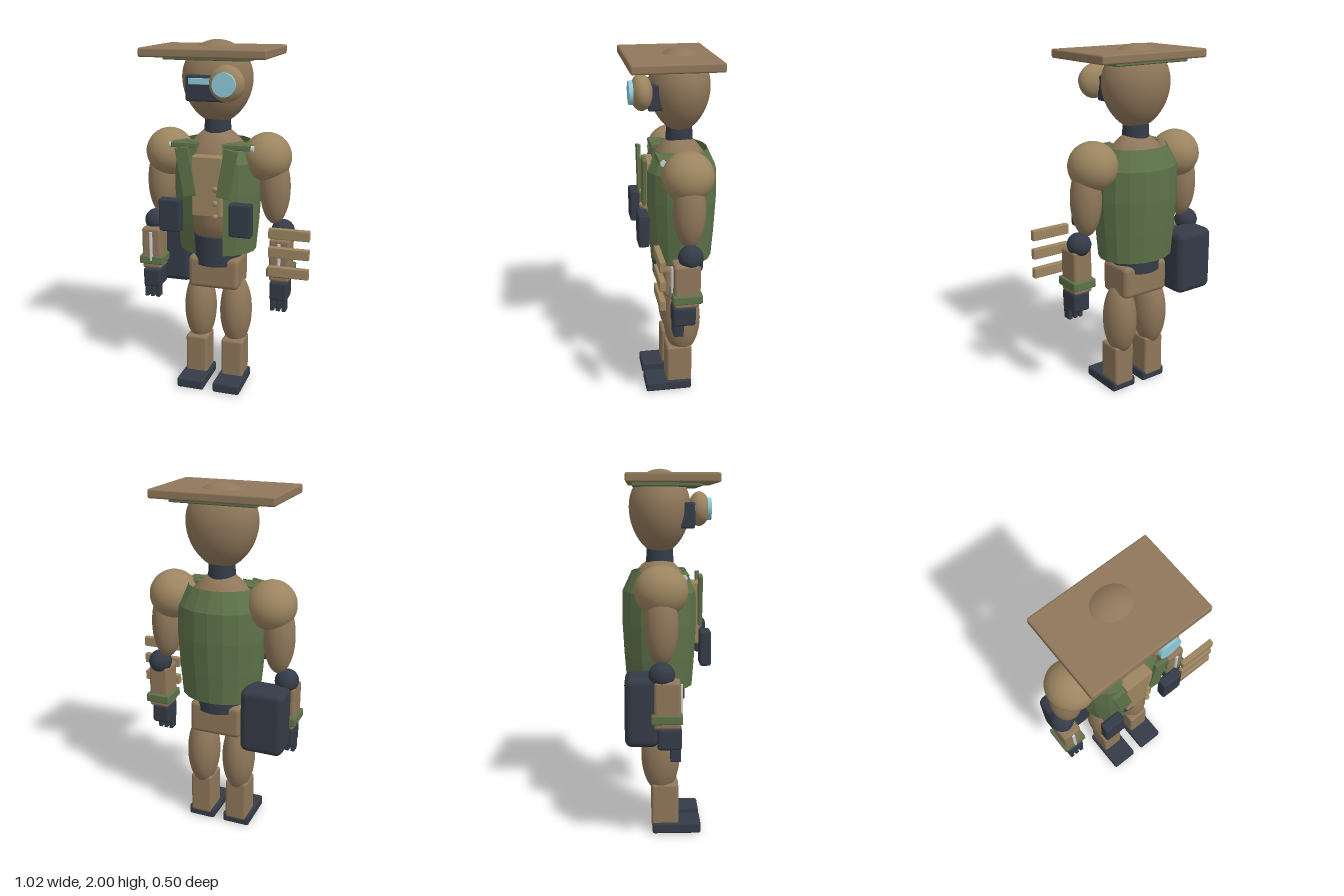
import * as THREE from 'three';
import { RoundedBoxGeometry } from 'three/addons/geometries/RoundedBoxGeometry.js';

const mat = (color, extra = {}) => {
  const m = new THREE.MeshStandardMaterial(extra);
  m.color.set(color);
  return m;
};
const BROWN = mat(0x8f775a), TAN = mat(0x9c8560), DARK = mat(0x343b47);
const GREEN = mat(0x5d7249), GLASS = mat(0x8fcbd8), STEEL = mat(0xc4c6c8);
const CLOTH = mat(0x5d7249, { flatShading: true, side: THREE.DoubleSide });
const ZC = -0.043; // depth of the body axis

export function createModel() {
  const root = new THREE.Group();
  const body = new THREE.Group();
  body.name = 'figure';
  body.position.x = -0.058;
  root.add(body);

  const add = (name, geo, material, x, y, z) => {
    const m = new THREE.Mesh(geo, material);
    m.name = name;
    m.position.set(x, y, z);
    body.add(m);
    return m;
  };
  const box = (name, material, [w, h, d], [x, y, z], r = 0.012) =>
    add(name, new RoundedBoxGeometry(w, h, d, 2, r), material, x, y, z);
  const ball = (name, material, [rx, ry, rz], [x, y, z]) =>
    add(name, new THREE.SphereGeometry(1, 32, 22).scale(rx, ry, rz), material, x, y, z);
  const lathe = (pts, seg, depth, start = 0) => new THREE.LatheGeometry(
    pts.map(p => new THREE.Vector2(...p)), seg, start, Math.PI * 2 - 2 * start).scale(1, 1, depth);

  // Head: ellipsoid tapering toward the chin
  const skull = new THREE.SphereGeometry(1, 40, 28);
  const p = skull.attributes.position;
  for (let i = 0; i < p.count; i++) {
    const y = p.getY(i), k = y < 0 ? 1 - 0.1 * y * y : 1;
    p.setXYZ(i, p.getX(i) * 0.197 * k, y * (y < 0 ? 0.25 : 0.2), p.getZ(i) * 0.167 * k);
  }
  skull.computeVertexNormals();
  add('head', skull, BROWN, 0, 1.8, ZC);
  add('neck', new THREE.CylinderGeometry(0.07, 0.077, 0.12, 24), DARK, 0, 1.54, ZC);

  // Flat board hat
  box('hatBoard', BROWN, [0.685, 0.048, 0.477], [0, 1.944, 0.016], 0.01);
  box('hatLining', GREEN, [0.475, 0.02, 0.36], [0, 1.913, -0.01], 0.006);

  // Visor and single round eyepiece
  box('visor', DARK, [0.25, 0.138, 0.08], [0, 1.756, 0.102]);
  box('visorSlit', GLASS, [0.2, 0.034, 0.012], [-0.005, 1.793, 0.14], 0.004);
  ball('eyepieceHousing', TAN, [0.095, 0.095, 0.06], [0.118, 1.79, 0.178]);
  add('eyepieceGlass', new THREE.CylinderGeometry(0.062, 0.062, 0.03, 32).rotateX(Math.PI / 2),
    GLASS, 0.118, 1.79, 0.23);

  // Torso, chest panel and waist
  add('torso', lathe([[0, 0.88], [0.13, 0.9], [0.165, 1.0], [0.2, 1.2], [0.2, 1.34],
    [0.17, 1.42], [0.115, 1.48], [0.07, 1.52], [0, 1.525]], 32, 0.85), BROWN, 0, 0, ZC);
  box('chestPanel', TAN, [0.17, 0.335, 0.07], [0, 1.232, 0.138], 0.008);
  for (const y of [1.225, 1.146, 1.07]) ball('button', TAN, [0.016, 0.016, 0.014], [0.05, y, 0.178]);
  add('waist', new THREE.CylinderGeometry(0.135, 0.14, 0.17, 32), DARK, 0, 0.83, ZC);
  box('pelvis', BROWN, [0.3, 0.19, 0.22], [0, 0.695, ZC], 0.028);

  // Open vest
  add('vest', lathe([[0.222, 0.83], [0.238, 1.0], [0.25, 1.18], [0.247, 1.35], [0.185, 1.46]],
    16, 0.83, 0.36), CLOTH, 0, 0, ZC);

  // Hip bag on the right side
  box('hipBag', DARK, [0.245, 0.37, 0.18], [-0.298, 0.76, -0.145], 0.04);

  // Slatted guard beside the left forearm
  for (const y of [0.995, 0.888, 0.777]) box('guardSlat', TAN, [0.226, 0.058, 0.032], [0.455, y, 0.136], 0.005);

  // Mirrored parts
  for (const s of [-1, 1]) {
    // Vest fittings
    const lapel = box('lapel', GREEN, [0.075, 0.27, 0.022], [s * 0.116, 1.31, 0.17], 0.003);
    lapel.rotation.z = -s * 0.17;
    box('shoulderStrap', GREEN, [0.15, 0.03, 0.12], [s * 0.15, 1.442, 0.045], 0.005);
    add('shoulderBar', new THREE.CylinderGeometry(0.017, 0.017, 0.11, 12).rotateZ(Math.PI / 2),
      STEEL, s * 0.185, 1.437, 0.08);
    box('pouch', DARK, [0.125, 0.185, 0.06], [s * 0.2, 1.068, 0.19]);

    // Arm
    ball('shoulder', TAN, [0.135, 0.135, 0.14], [s * 0.285, 1.375, ZC]);
    ball('upperArm', BROWN, [0.085, 0.205, 0.088], [s * 0.333, 1.2, ZC]);
    ball('elbow', DARK, [0.066, 0.066, 0.068], [s * 0.382, 0.957, ZC]);
    box('forearm', BROWN, [0.116, 0.25, 0.137], [s * 0.382, 0.805, -0.015], 0.016);
    add('forearmRod', new THREE.CylinderGeometry(0.01, 0.01, 0.175, 12), STEEL, s * 0.382, 0.82, 0.056);
    box('wristBand', GREEN, [0.143, 0.05, 0.162], [s * 0.382, 0.735, -0.018], 0.008);
    box('hand', DARK, [0.104, 0.115, 0.127], [s * 0.382, 0.625, -0.003], 0.016);
    for (const f of [-1, 0, 1])
      box('finger', DARK, [0.024, 0.085, 0.055], [s * 0.382 + f * 0.034, 0.547, 0.028], 0.005);

    // Leg
    ball('thigh', BROWN, [0.093, 0.22, 0.108], [s * 0.109, 0.445, ZC]);
    box('shin', BROWN, [0.13, 0.25, 0.15], [s * 0.109, 0.158, -0.02], 0.016);
    box('foot', DARK, [0.16, 0.06, 0.27], [s * 0.109, 0.03, 0.045]);
  }
  return root;
}
